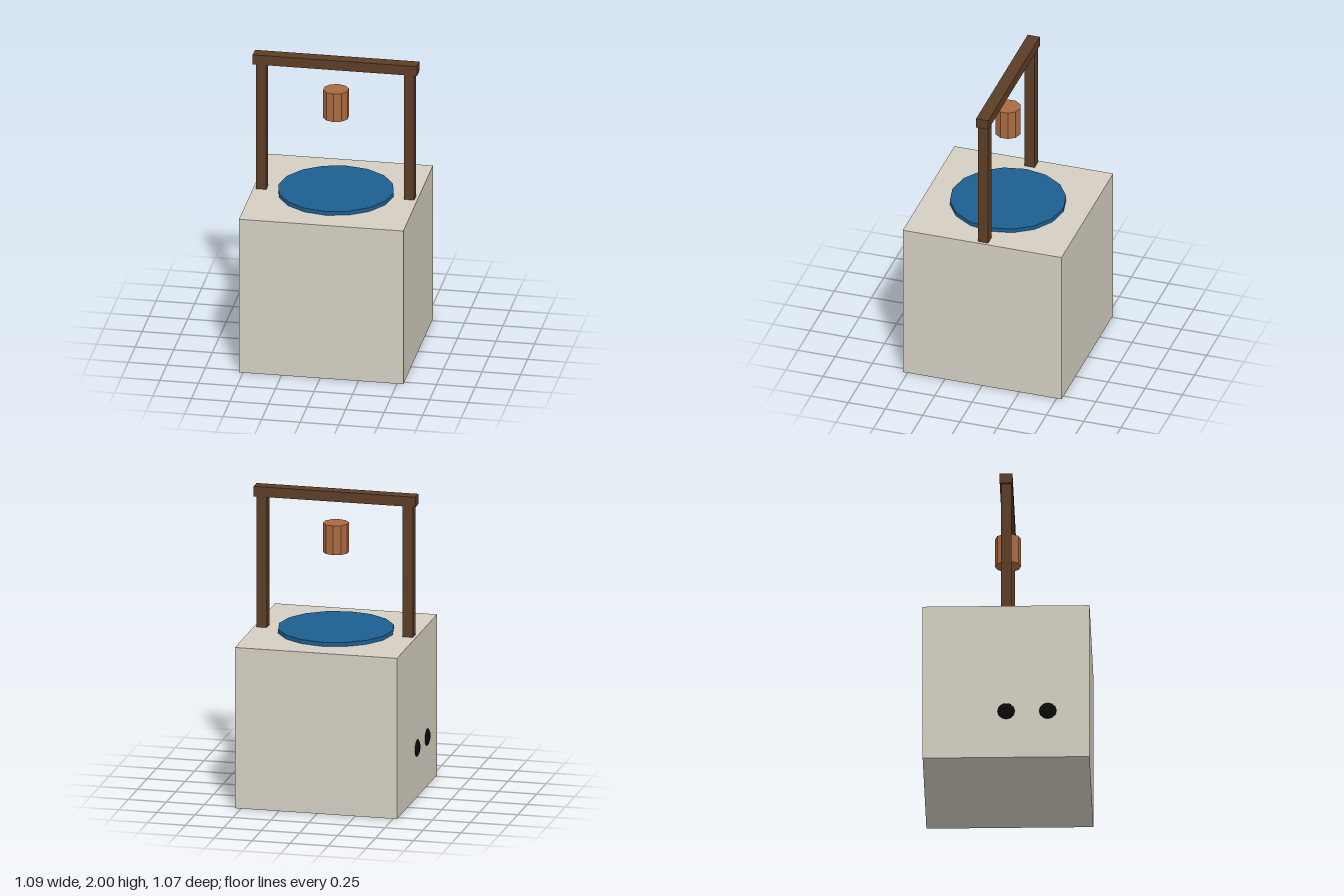
import * as THREE from 'three';

const mat = (color) => new THREE.MeshStandardMaterial({ color, flatShading: true });

export function createModel() {
  const model = new THREE.Group();
  model.name = 'well';
  const stone = mat(0xd4cfc1), wood = mat(0x5c3d26), water = mat(0x1c5e90);
  const bucketWood = mat(0xaa6a42), black = mat(0x0a0a0a);
  const cx = 0.0075; // the bumps on one side shift the body slightly

  const add = (name, geometry, material, x, y, z) => {
    const mesh = new THREE.Mesh(geometry, material);
    mesh.name = name;
    mesh.position.set(x, y, z);
    model.add(mesh);
    return mesh;
  };

  // Stone block and the water disc on top
  const size = 1.066;
  add('stoneBase', new THREE.BoxGeometry(size, size, size), stone, cx, size / 2, 0);
  add('water', new THREE.CylinderGeometry(0.373, 0.373, 0.054, 16), water, cx, size, 0);

  // Wooden frame
  for (const side of [-1, 1]) {
    add(side < 0 ? 'rightPost' : 'leftPost', new THREE.BoxGeometry(0.067, 0.88, 0.067),
      wood, cx + side * 0.48, size + 0.434, 0);
  }
  add('crossbeam', new THREE.BoxGeometry(size, 0.066, 0.082), wood, cx, 1.967, 0);

  // Hanging bucket
  add('bucket', new THREE.CylinderGeometry(0.083, 0.083, 0.194, 10), bucketWood, cx, 1.688, 0);

  // Flattened dark knobs on the right side
  for (const z of [0, 0.266]) {
    const knob = add('sideKnob', new THREE.SphereGeometry(0.056, 8, 6), black, cx - size / 2, 0.325, z);
    knob.scale.x = 0.34;
  }
  return model;
}
